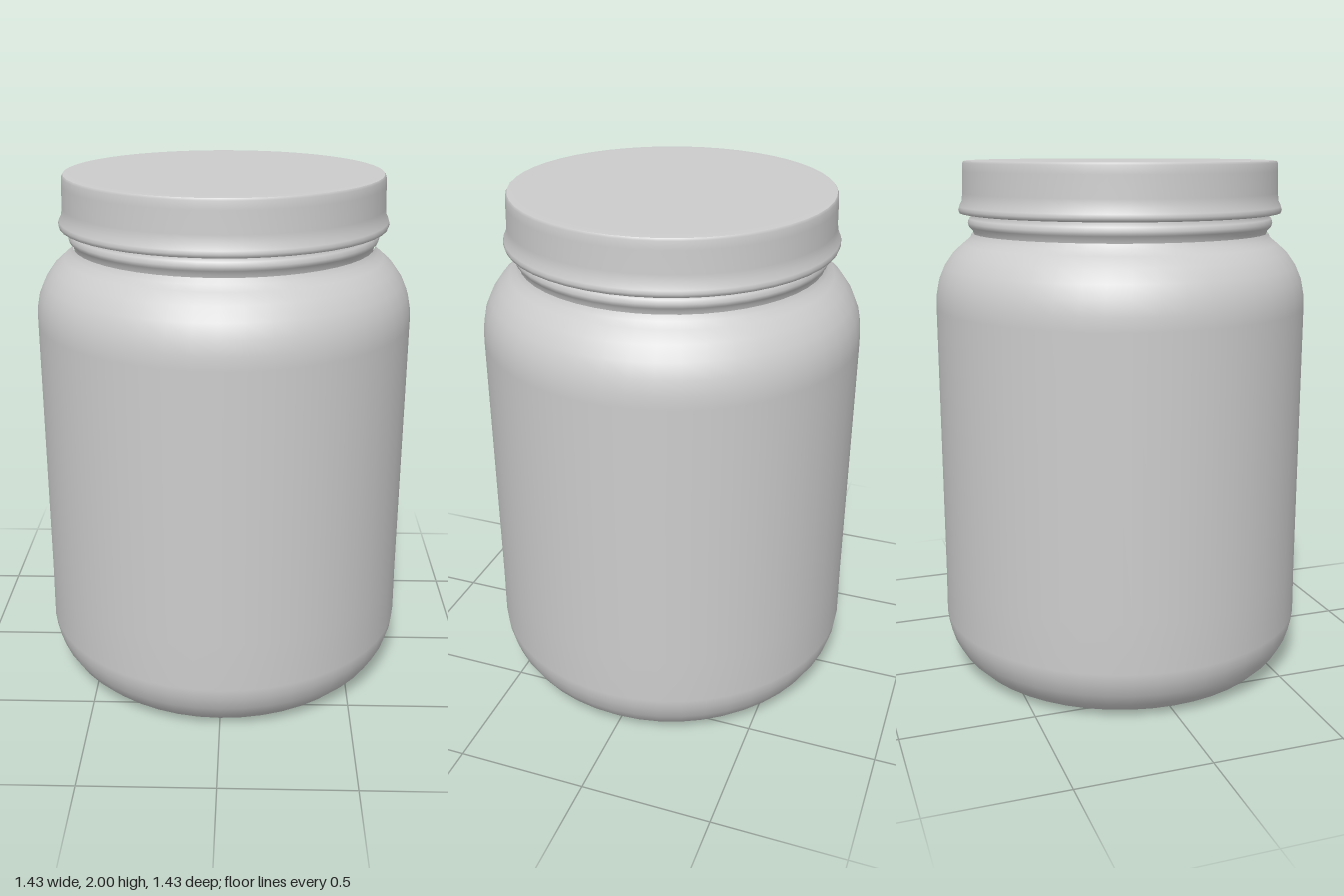
import * as THREE from 'three';

const SEGMENTS = 48;

// Revolve a [radius, height] profile, listed from bottom to top, around the y axis
function revolve(name, profile, material) {
  const points = profile.map(([r, y]) => new THREE.Vector2(r, y));
  const mesh = new THREE.Mesh(new THREE.LatheGeometry(points, SEGMENTS), material);
  mesh.name = name;
  return mesh;
}

export function createModel() {
  const grey = new THREE.MeshStandardMaterial({ color: 0xcccccc });
  grey.name = 'plain grey';

  const jar = new THREE.Group();
  jar.name = 'jar';

  // Base with a shallow recess, rounded foot, straight wall and rounded shoulder
  jar.add(revolve('body', [
    [0, 0.025], [0.46, 0.025], [0.52, 0.008], [0.55, 0.002], [0.585, 0.006],
    [0.625, 0.025], [0.665, 0.065], [0.695, 0.115], [0.711, 0.165], [0.717, 0.21],
    [0.715, 0.4], [0.715, 1.45], [0.713, 1.5], [0.702, 1.555], [0.68, 1.605],
    [0.645, 1.655], [0.605, 1.69], [0.58, 1.71], [0.57, 1.73],
  ], grey));

  // Neck with a rounded bead below the lid
  jar.add(revolve('neck', [
    [0.565, 1.715], [0.567, 1.74], [0.582, 1.755], [0.586, 1.77],
    [0.58, 1.785], [0.57, 1.795], [0.57, 1.83],
  ], grey));

  // Lid skirt with a flared lower rim
  jar.add(revolve('lidSkirt', [
    [0.56, 1.81], [0.6, 1.803], [0.616, 1.806], [0.62, 1.818], [0.617, 1.83],
    [0.607, 1.85], [0.604, 1.88], [0.602, 1.96], [0.6, 1.99], [0.595, 1.998],
  ], grey));

  // Flat lid top
  jar.add(revolve('lidTop', [[0.595, 1.998], [0.56, 2], [0, 2]], grey));

  return jar;
}
